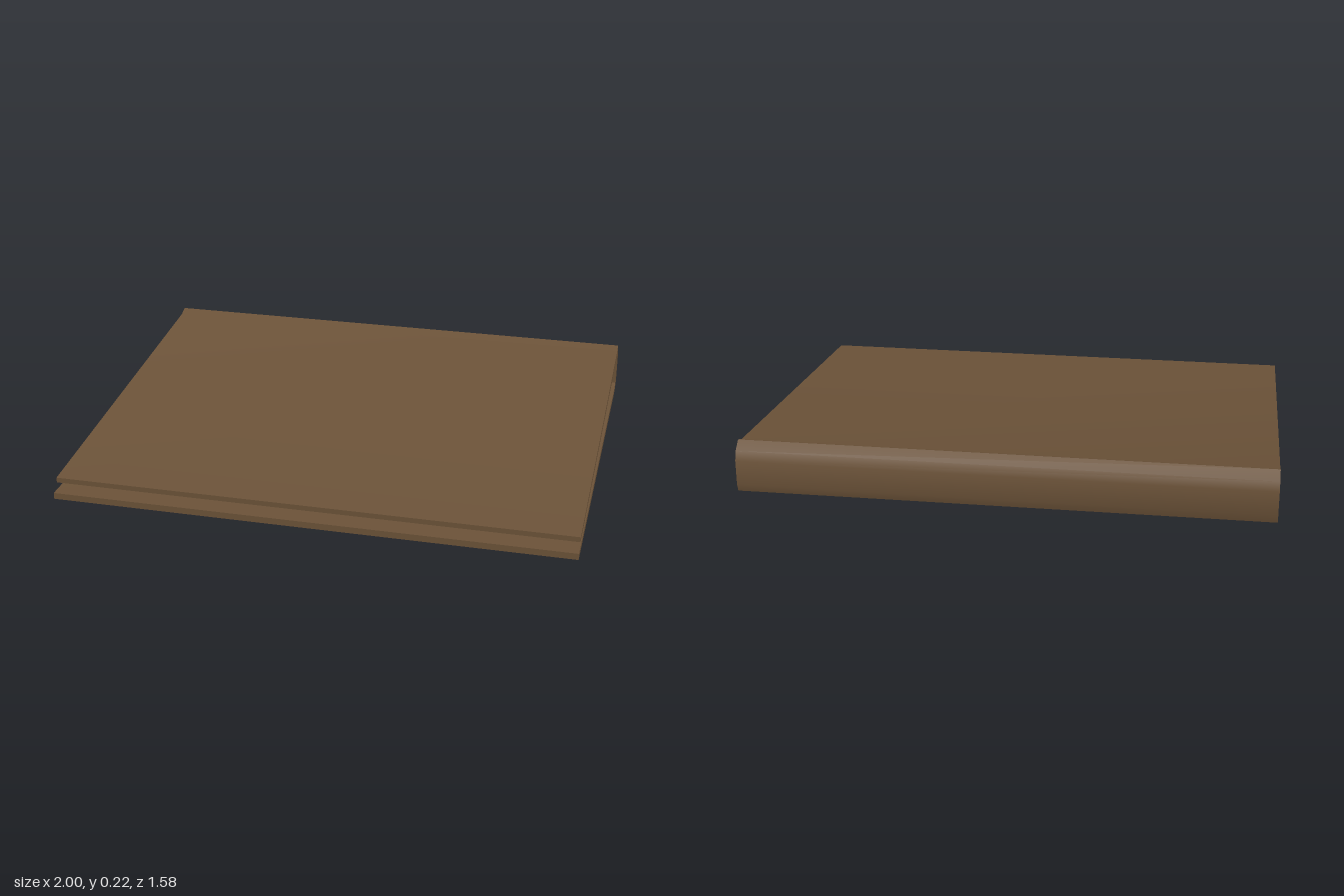
import * as THREE from 'three';
import { toCreasedNormals } from 'three/addons/utils/BufferGeometryUtils.js';

export function createModel() {
  const group = new THREE.Group();
  const coverMat = new THREE.MeshStandardMaterial({ color: 0x6b5238 });
  const ringMat = new THREE.MeshStandardMaterial({ color: 0x666666 });

  // Folded cover: side profile as [-z, y], bottom board, spine, tilted top board
  const profile = [
    [-0.79, 0], [0.71, 0], [0.78, 0.025], [0.79, 0.055], [0.79, 0.15],
    [0.778, 0.185], [0.742, 0.217], [0.7, 0.202], [-0.755, 0.073],
    [-0.755, 0.053], [0.685, 0.17], [0.725, 0.182], [0.743, 0.165],
    [0.743, 0.04], [0.705, 0.025], [-0.79, 0.025],
  ];
  const shape = new THREE.Shape(profile.map(([u, v]) => new THREE.Vector2(u, v)));
  const extruded = new THREE.ExtrudeGeometry(shape, { depth: 2, bevelEnabled: false });
  extruded.translate(0, 0, -1).rotateY(Math.PI / 2);
  const cover = new THREE.Mesh(toCreasedNormals(extruded, Math.PI / 6), coverMat);
  cover.name = 'cover';
  group.add(cover);

  // Metal rings inside the spine
  const rings = new THREE.Group();
  rings.name = 'rings';
  const ringGeo = new THREE.TorusGeometry(0.053, 0.011, 12, 40).rotateY(Math.PI / 2);
  for (const x of [-0.655, -0.2, 0.235, 0.62]) {
    const ring = new THREE.Mesh(ringGeo, ringMat);
    ring.name = 'ring';
    ring.position.set(x, 0.103, -0.676);
    rings.add(ring);
  }
  group.add(rings);
  return group;
}
